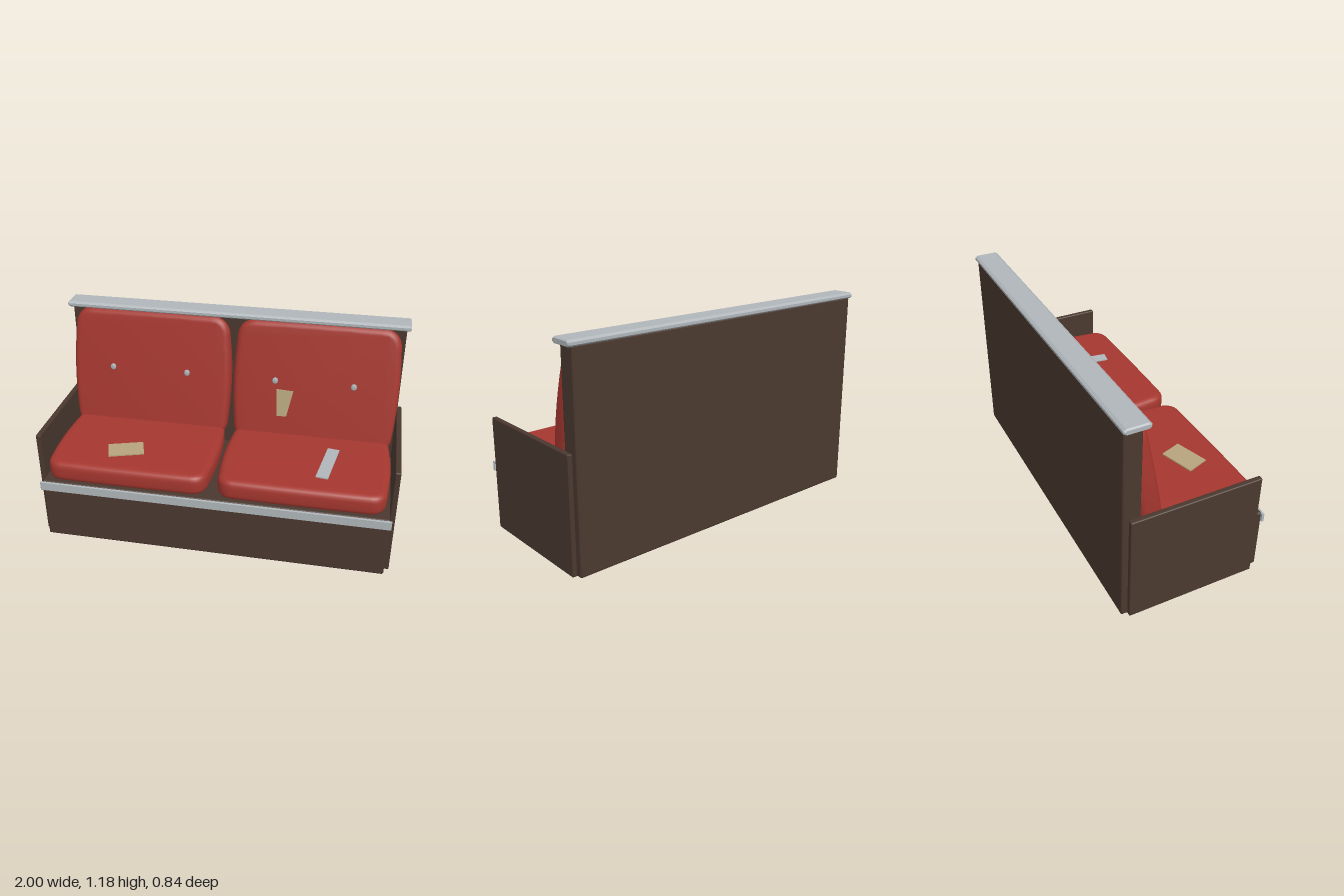
import * as THREE from 'three';
import { toCreasedNormals } from 'three/addons/utils/BufferGeometryUtils.js';
import { RoundedBoxGeometry } from 'three/addons/geometries/RoundedBoxGeometry.js';

const mat = (name, color) => new THREE.MeshStandardMaterial({ name, color });

export function createModel() {
  const model = new THREE.Group();
  model.name = 'benchSeat';
  const wood = mat('dark brown panel', 0x4a382f);
  const red = mat('red vinyl', 0xa5372f);
  const metal = mat('grey metal', 0xb0b6ba);
  const tan = mat('tan tape', 0xb5a37c);

  const add = (name, geometry, material, x = 0, y = 0, z = 0, rx = 0) => {
    const mesh = new THREE.Mesh(geometry, material);
    mesh.name = name;
    mesh.position.set(x, y, z);
    mesh.rotation.x = rx;
    model.add(mesh);
    return mesh;
  };

  // Box with small chamfers, given by its limits
  const panel = (name, material, [x0, x1], [y0, y1], [z0, z1], bevel) =>
    add(name, new RoundedBoxGeometry(x1 - x0, y1 - y0, z1 - z0, 1, bevel), material,
      (x0 + x1) / 2, (y0 + y1) / 2, (z0 + z1) / 2);

  // Padded cushion: bowed rounded outline with a soft rim, thickness along z
  const cushion = (w, h, thick, corner) => {
    const rim = 0.035, bow = 0.012;
    const a = w / 2 - rim, b = h / 2 - rim, c = corner;
    const s = new THREE.Shape();
    s.moveTo(-a + c, -b);
    s.quadraticCurveTo(0, -b - bow / 2, a - c, -b);
    s.quadraticCurveTo(a - bow, -b, a - bow, -b + c);
    s.quadraticCurveTo(a + bow, 0, a - bow, b - c);
    s.quadraticCurveTo(a - bow, b, a - c, b);
    s.quadraticCurveTo(0, b + bow / 2, -a + c, b);
    s.quadraticCurveTo(-a + bow, b, -a + bow, b - c);
    s.quadraticCurveTo(-a - bow, 0, -a + bow, -b + c);
    s.quadraticCurveTo(-a + bow, -b, -a + c, -b);
    const g = new THREE.ExtrudeGeometry(s, {
      depth: thick - 2 * rim, bevelThickness: rim, bevelSize: rim, bevelSegments: 4, curveSegments: 8,
    });
    g.translate(0, 0, rim - thick / 2);
    return toCreasedNormals(g, 0.7);
  };

  // Thin tape patch from four corners
  const patch = (corners) => new THREE.ExtrudeGeometry(
    new THREE.Shape(corners.map(([x, y]) => new THREE.Vector2(x, y))),
    { depth: 0.008, bevelEnabled: false });

  // Wooden carcass, with an open gap between the base and the back
  panel('base', wood, [-0.972, 0.972], [0, 0.37], [-0.235, 0.41], 0.01);
  panel('backPanel', wood, [-0.975, 0.975], [0, 1.155], [-0.41, -0.31], 0.01);
  for (const [side, s] of [['left', 1], ['right', -1]]) {
    const xs = s > 0 ? [0.97, 1] : [-1, -0.97];
    panel(side + 'SidePanel', wood, xs, [0, 0.637], [-0.375, 0.36], 0.006);
  }

  // Metal trim strip and chamfered top rail
  panel('frontTrim', metal, [-0.983, 0.983], [0.313, 0.365], [0.405, 0.42], 0.002);
  const rail = new THREE.Shape([
    [-0.056, -0.017], [0.056, -0.017], [0.07, -0.007], [0.07, 0.007],
    [0.056, 0.017], [-0.056, 0.017], [-0.07, 0.007], [-0.07, -0.007],
  ].map(([x, y]) => new THREE.Vector2(x, y)));
  const railGeo = new THREE.ExtrudeGeometry(rail, {
    depth: 1.976, bevelThickness: 0.008, bevelSize: 0.006, bevelOffset: -0.006, bevelSegments: 1,
  });
  railGeo.translate(0, 0, -0.988).rotateY(Math.PI / 2);
  add('topRail', railGeo, metal, 0, 1.167, -0.348);

  // Cushions and buttons for both places
  const tilt = -0.182;
  const seatGeo = cushion(0.945, 0.65, 0.12, 0.07);
  const backGeo = cushion(0.96, 0.752, 0.12, 0.09);
  const buttonGeo = new THREE.LatheGeometry([
    [0, -0.008], [0.011, -0.008], [0.018, -0.004], [0.018, 0.004], [0.011, 0.008], [0, 0.008],
  ].map(([x, y]) => new THREE.Vector2(x, y)), 8);
  buttonGeo.rotateX(Math.PI / 2).scale(0.95, 1.1, 1);
  for (const [side, s] of [['left', 1], ['right', -1]]) {
    add(side + 'SeatCushion', seatGeo, red, s * 0.487, 0.436, 0.082, -Math.PI / 2);
    add(side + 'BackCushion', backGeo, red, s * 0.489, 0.775, -0.272, tilt);
    for (const x of [0.262, 0.713]) add(side + 'Button', buttonGeo, metal, s * x, 0.825, -0.197);
  }

  // Tape repairs
  add('backTape', patch([[0.28, -0.183], [0.337, -0.183], [0.37, -0.025], [0.272, -0.02]]),
    tan, 0, 0.774, -0.272, tilt).translateZ(0.057);
  add('seatTape', patch([[-0.61, -0.283], [-0.42, -0.22], [-0.46, -0.1], [-0.652, -0.162]]),
    tan, 0, 0.495, 0, -Math.PI / 2);
  add('seatStrip', patch([[0.557, -0.265], [0.625, -0.275], [0.667, 0.028], [0.6, 0.038]]),
    metal, 0, 0.495, 0, -Math.PI / 2);

  return model;
}
